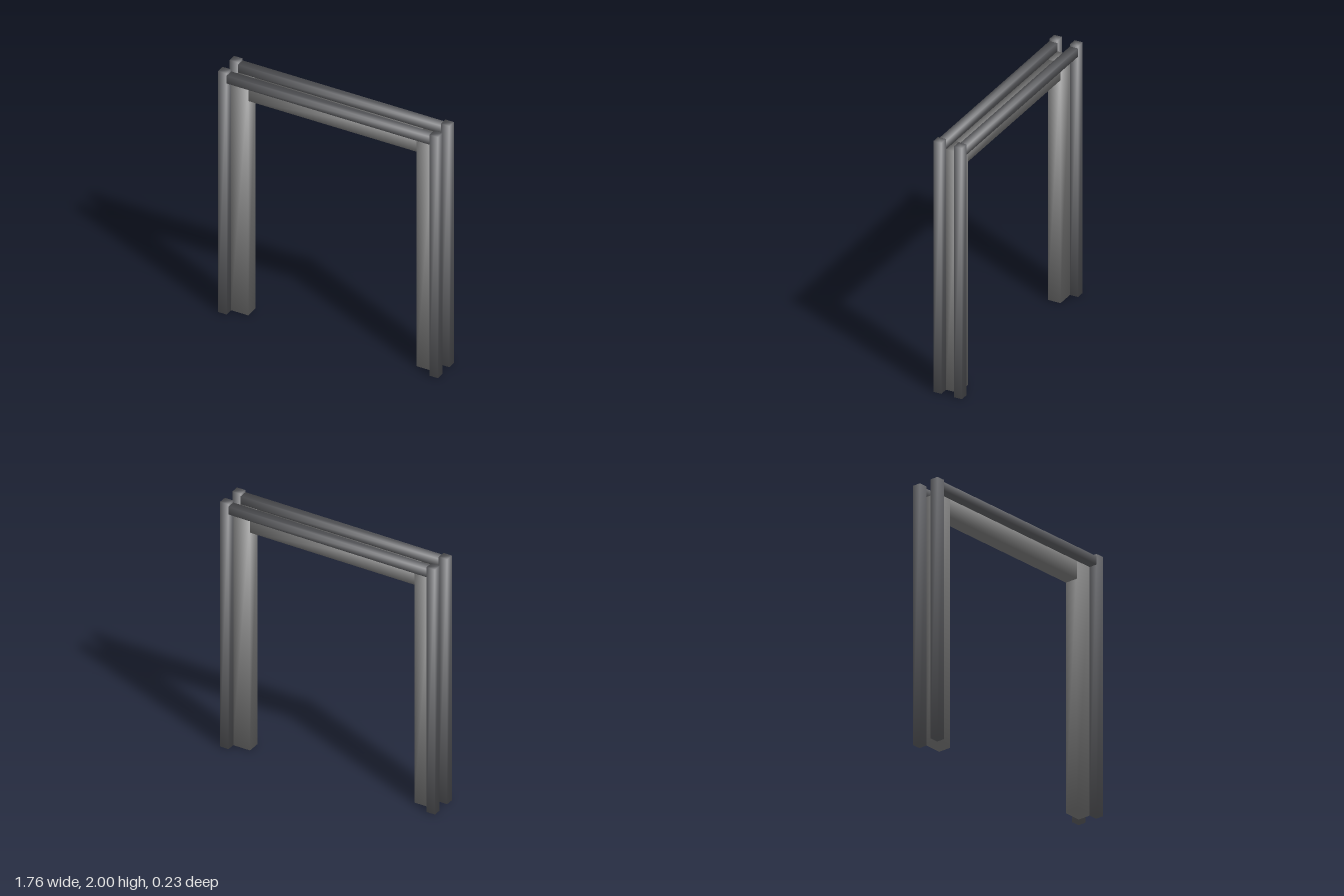
import * as THREE from 'three';

const frameMaterial = new THREE.MeshStandardMaterial({ color: 0x7e7e7e });
const trimMaterial = new THREE.MeshStandardMaterial({ color: 0x5f6064 });

// Box between two corners; each corner's normal points out along its diagonal for soft shading
function bar(name, material, [x0, y0, z0], [x1, y1, z1]) {
  const geometry = new THREE.BoxGeometry(x1 - x0, y1 - y0, z1 - z0);
  const { position, normal } = geometry.attributes;
  for (let i = 0; i < position.count; i++) {
    normal.setXYZ(i, Math.sign(position.getX(i)), Math.sign(position.getY(i)), Math.sign(position.getZ(i)));
  }
  geometry.normalizeNormals();
  const mesh = new THREE.Mesh(geometry, material);
  mesh.name = name;
  mesh.position.set((x0 + x1) / 2, (y0 + y1) / 2, (z0 + z1) / 2);
  return mesh;
}

export function createModel() {
  const group = new THREE.Group();
  group.name = 'doorFrame';

  const inner = 0.675, outer = 0.812, edge = 0.881; // half widths
  const jambZ = 0.05, trimZ = 0.114;                // half depths
  const lintelBottom = 1.78, jambTop = 1.918, trimTop = 1.983, height = 2;

  // Lintel between the jambs
  group.add(bar('lintel', frameMaterial, [-inner, lintelBottom, -jambZ], [inner, jambTop, jambZ]));

  // Jambs
  for (const [side, s] of [['left', 1], ['right', -1]]) {
    const jamb = bar(side + 'Jamb', frameMaterial, [inner, 0, -jambZ], [outer, jambTop, jambZ]);
    jamb.position.x *= s;
    group.add(jamb);
  }

  // Trim strips around the outer edge, front and back
  for (const [face, f] of [['front', 1], ['back', -1]]) {
    const top = bar(face + 'TopTrim', trimMaterial, [-outer, jambTop, jambZ], [outer, trimTop, trimZ]);
    top.position.z *= f;
    group.add(top);
    for (const [side, s] of [['Left', 1], ['Right', -1]]) {
      const trim = bar(face + side + 'Trim', trimMaterial, [outer, 0, jambZ], [edge, height, trimZ]);
      trim.position.x *= s;
      trim.position.z *= f;
      group.add(trim);
    }
  }
  return group;
}
